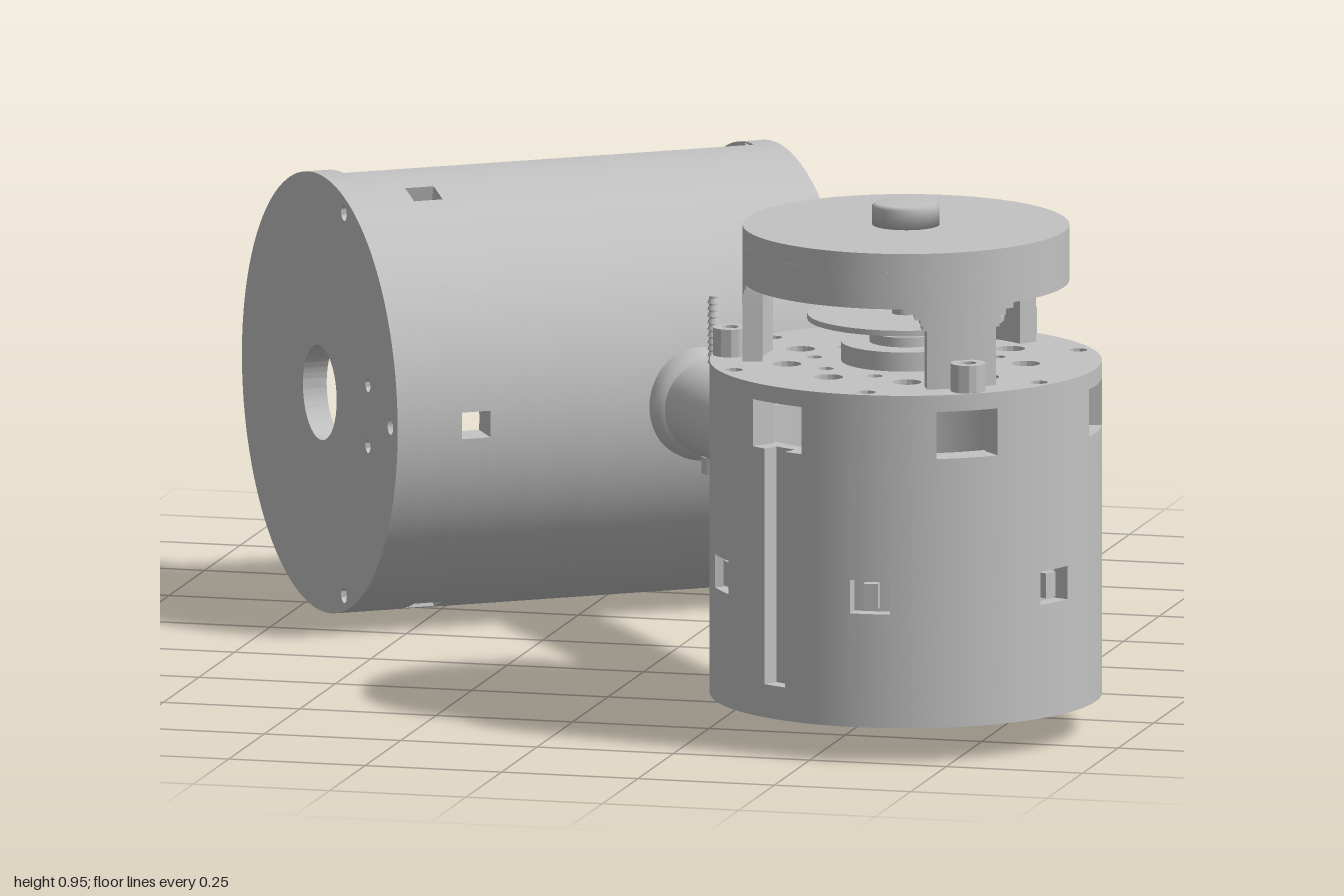
import * as THREE from 'three';
import { toCreasedNormals } from 'three/addons/utils/BufferGeometryUtils.js';

const grey = new THREE.MeshStandardMaterial({ color: 0xc2c2c2 });
grey.name = 'machined grey';
const rad = THREE.MathUtils.degToRad;

function add(parent, name, geometry, x = 0, y = 0, z = 0) {
  const mesh = new THREE.Mesh(geometry, grey);
  mesh.name = name;
  mesh.position.set(x, y, z);
  parent.add(mesh);
  return mesh;
}

const extrude = (shape, depth, curveSegments) => toCreasedNormals(
  new THREE.ExtrudeGeometry(shape, { depth, bevelEnabled: false, curveSegments }), 0.6);

// Curved wall piece between two angles in degrees, extruded along +z
function sector(r0, r1, a0, a1, depth) {
  const s = new THREE.Shape();
  s.absarc(0, 0, r1, rad(a0), rad(a1), false);
  s.absarc(0, 0, r0, rad(a1), rad(a0), true);
  return extrude(s, depth, Math.max(3, Math.ceil((a1 - a0) / 4)));
}

// Round plate with circular holes given as [x, y, radius]
function plate(r, depth, holes = []) {
  const s = new THREE.Shape();
  s.absarc(0, 0, r, 0, Math.PI * 2, false);
  for (const [x, y, hr] of holes) {
    const h = new THREE.Path();
    h.absarc(x, y, hr, 0, Math.PI * 2, true);
    s.holes.push(h);
  }
  return extrude(s, depth, 72);
}

// Holes evenly spaced on a circle; angle runs from the front towards +x
function circleOfHoles(n, r, hr, start) {
  return Array.from({ length: n }, (_, i) => {
    const t = rad(start + (i * 360) / n);
    return [r * Math.sin(t), -r * Math.cos(t), hr];
  });
}

const upright = (g) => g.rotateX(-Math.PI / 2);
const sideways = (g) => g.rotateY(Math.PI / 2);
const cyl = (r, h, n = 32) => new THREE.CylinderGeometry(r, r, h, n);

// Upright ring wall with gaps given as [centre angle, half width]
function ringWall(parent, name, r0, r1, y0, y1, gaps = []) {
  if (!gaps.length) {
    add(parent, name, upright(plate(r1, y1 - y0, [[0, 0, r0]])), 0, y0, 0);
    return;
  }
  gaps.sort((a, b) => a[0] - b[0]);
  gaps.forEach(([c, h], i) => {
    const [c2, h2] = i + 1 < gaps.length ? gaps[i + 1] : [gaps[0][0] + 360, gaps[0][1]];
    add(parent, name, upright(sector(r0, r1, c + h - 90, c2 - h2 - 90, y1 - y0)), 0, y0, 0);
  });
}

function buildHousing() {
  const g = new THREE.Group();
  g.name = 'uprightHousing';
  const R = 0.348, Ri = 0.318;
  const slot = () => [332.5, 4];
  const six = (start, half) => Array.from({ length: 6 }, (_, i) => [start + 60 * i, half]);

  // Outer wall in bands, with windows, upper notches and a long slot
  ringWall(g, 'lowerWall', Ri, R, 0.105, 0.125);
  ringWall(g, 'housingWall', Ri, R, 0.125, 0.27, [slot()]);
  ringWall(g, 'windowBand', Ri, R, 0.27, 0.33, [...six(4, 6), slot()]);
  ringWall(g, 'housingWall', Ri, R, 0.33, 0.55, [slot()]);
  ringWall(g, 'notchBand', 0.3, R, 0.55, 0.635, six(33, 9.5));
  ringWall(g, 'liner', 0.29, Ri + 0.001, 0.105, 0.55);
  for (const [a] of six(4, 6)) {
    const t = rad(a);
    const b = add(g, 'windowBlock', new THREE.BoxGeometry(0.026, 0.045, 0.02),
      0.328 * Math.sin(t), 0.3, 0.328 * Math.cos(t));
    b.rotation.y = t;
  }

  // Base and lid plates
  add(g, 'basePlate', upright(plate(R, 0.04,
    [[0, 0, 0.12], ...circleOfHoles(6, 0.325, 0.011, 2)])), 0, 0.065, 0);
  add(g, 'baseHub', upright(plate(0.122, 0.03,
    [[0, 0, 0.016], ...circleOfHoles(5, 0.06, 0.016, 0)])), 0, 0.08, 0);
  add(g, 'baseFloor', cyl(0.3, 0.01, 64), 0, 0.115, 0);
  add(g, 'lidPlate', upright(plate(R, 0.03, [
    ...circleOfHoles(6, 0.32, 0.016, 2),
    ...circleOfHoles(9, 0.215, 0.026, 15),
    ...circleOfHoles(9, 0.165, 0.014, 35)])), 0, 0.635, 0);

  // Central bearing, thin disc and shaft
  add(g, 'bearingBase', cyl(0.115, 0.035, 48), 0, 0.682, 0);
  add(g, 'bearingTop', cyl(0.065, 0.02), 0, 0.707, 0);
  add(g, 'thinDisc', cyl(0.175, 0.01, 48), 0, 0.745, 0);
  add(g, 'shaft', cyl(0.025, 0.2), 0, 0.785, 0);

  // Cup-shaped cap standing on three legs
  add(g, 'capTop', cyl(0.29, 0.035, 72), 0, 0.8925, 0);
  ringWall(g, 'capRim', 0.255, 0.29, 0.81, 0.876);
  add(g, 'capKnob', new THREE.LatheGeometry(
    [[0, 0], [0.06, 0], [0.06, 0.034], [0.054, 0.04], [0, 0.04]].map((p) => new THREE.Vector2(...p)), 40), 0, 0.91, 0);
  for (const a of [35, 155, 275]) {
    add(g, 'capLeg', upright(sector(0.255, 0.29, a - 103, a - 77, 0.146)), 0, 0.665, 0);
    // widened top of each leg
    for (let i = 0; i < 4; i++) {
      const w = 14.5 + i * i * 0.7;
      add(g, 'legFlare', upright(sector(0.255, 0.29, a - 90 - w, a - 90 + w, 0.01)), 0, 0.77 + i * 0.01, 0);
    }
    const t = rad(a), x = 0.316 * Math.sin(t), z = 0.316 * Math.cos(t);
    add(g, 'post', upright(plate(0.031, 0.05, [[0, 0, 0.015]])), x, 0.665, z);
    add(g, 'postScrew', cyl(0.015, 0.04, 16), x, 0.685, z);
  }
  return g;
}

function buildCradle() {
  const g = new THREE.Group();
  g.name = 'halfDrumCradle';
  const R = 0.393, H = 0.434, T = 0.045;
  const half = (r0, x0, x1, a0 = 90, a1 = 270) =>
    add(g, 'cradleShell', sideways(sector(r0, R, a0, a1, x1 - x0)), x0, 0, 0);

  // Half shell with a window band and an inner groove
  half(0.336, -H + T, -0.312);
  const windows = [109, 180, 251], w = 3.5;
  [90, ...windows.map((a) => a + w)].forEach((a0, i) =>
    half(0.336, -0.312, -0.258, a0, i < 3 ? windows[i] - w : 270));
  half(0.336, -0.258, -0.177);
  half(0.378, -0.177, -0.068);
  half(0.363, -0.068, H - T);

  // End discs; a shape x of -z puts a hole towards the front
  add(g, 'openEndDisc', sideways(plate(R, T, [
    [0, 0, 0.085], [-0.243, 0.055, 0.012], [-0.243, -0.055, 0.012],
    [-0.122, 0.345, 0.014], [-0.122, -0.345, 0.014], [-0.356, 0, 0.014]])), -H, 0, 0);
  add(g, 'hubEndDisc', sideways(plate(R, T,
    circleOfHoles(4, 0.061, 0.022, 0))), H - T, 0, 0);
  for (const [x, y] of circleOfHoles(4, 0.061, 0, 0)) {
    add(g, 'hubScrew', cyl(0.012, 0.03, 16).rotateZ(Math.PI / 2), H - 0.025, y, -x);
  }

  // Rounded corners between shell edge and hub disc
  const f = new THREE.Shape();
  f.moveTo(0.33, 0);
  f.quadraticCurveTo(H - T, 0, H - T, 0.06);
  f.lineTo(H - T, 0);
  f.closePath();
  for (const y of [0.363, -0.388]) {
    add(g, 'cornerFillet', upright(extrude(f, 0.025, 8)), 0, y, 0);
  }
  return g;
}

function buildArm() {
  const g = new THREE.Group();
  g.name = 'connectingArm';
  // Tube with a flared collar at the cradle end
  const profile = [[0, 0.375], [0.1, 0.375], [0.1, 0.405], [0.092, 0.42], [0.083, 0.425], [0.083, 1.1], [0, 1.1]];
  const tube = new THREE.LatheGeometry(profile.map((p) => new THREE.Vector2(...p)), 48).rotateX(Math.PI / 2);
  add(g, 'armTube', toCreasedNormals(tube, 0.6), 0, 0.01, 0);
  // Threaded pin with nut
  add(g, 'pin', cyl(0.008, 0.32, 16), 0, 0.055, 0.45);
  for (let i = 0; i < 10; i++) {
    add(g, 'pinThread', new THREE.CylinderGeometry(0.007, 0.011, 0.011, 16), 0, 0.1 + i * 0.012, 0.45);
  }
  add(g, 'pinNut', cyl(0.022, 0.03, 6), 0, -0.09, 0.45);
  add(g, 'armScrew', upright(plate(0.022, 0.03, [[0, 0, 0.011]])), 0, 0.068, 1.043);
  return g;
}

export function createModel() {
  const model = new THREE.Group();
  model.name = 'housingWithCradle';
  const housing = buildHousing();
  housing.position.set(0.585, 0, 0.65);
  model.add(housing);

  const side = new THREE.Group();
  side.name = 'cradleAndArm';
  side.position.set(-0.351, 0.395, -0.431);
  side.rotation.y = 0.614;
  const arm = buildArm();
  arm.position.x = 0.143;
  side.add(buildCradle(), arm);
  model.add(side);
  return model;
}
